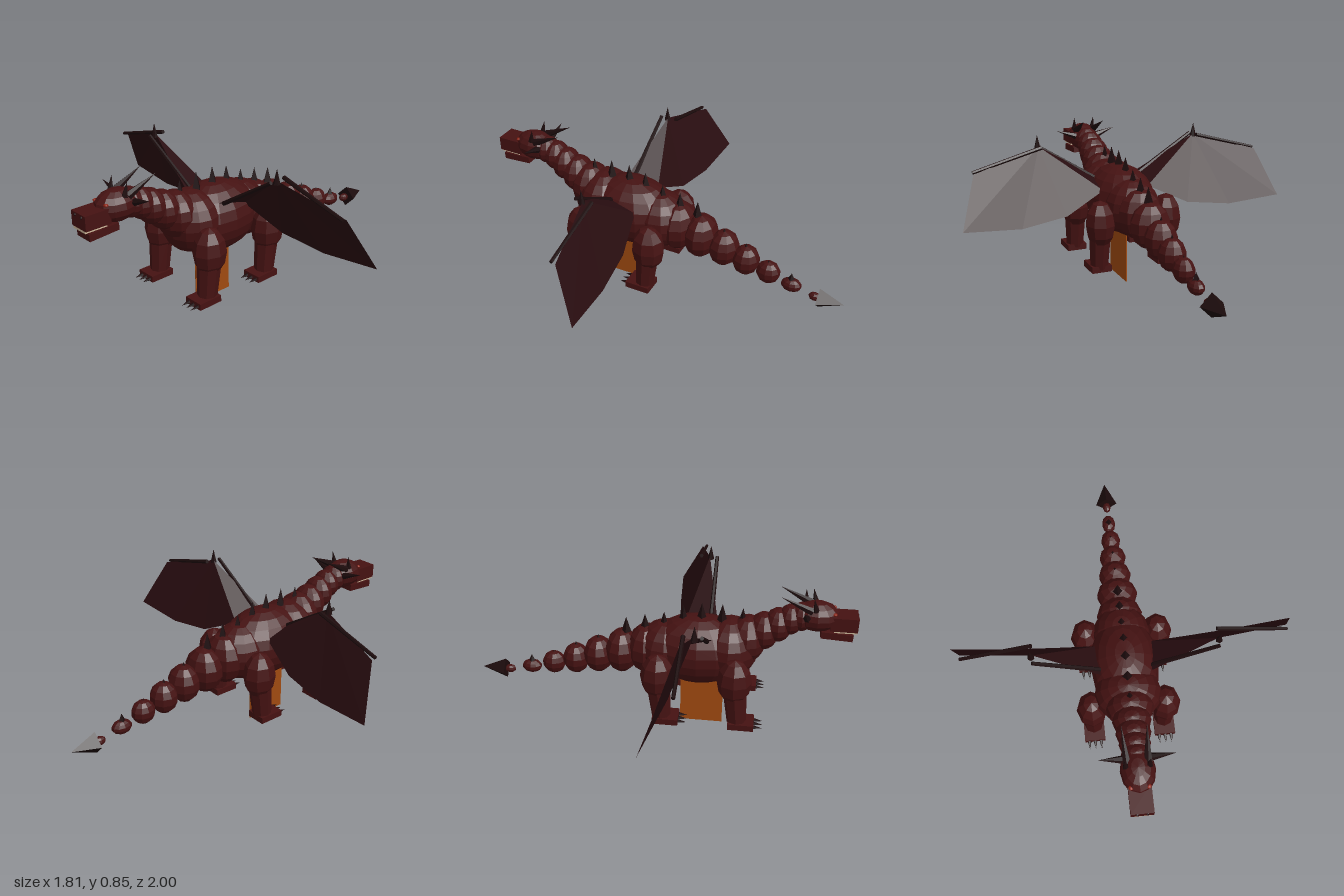
import * as THREE from 'three';

const mat = (name, color, extra = {}) => {
  const m = new THREE.MeshStandardMaterial({ color, flatShading: true, ...extra });
  m.name = name;
  return m;
};

export function createModel() {
  const model = new THREE.Group();
  model.name = 'dragon';
  const hide = mat('dark red hide', 0x451212);
  const horn = mat('black horn', 0x1c0b0c);
  const skin = mat('wing skin', 0x290d10, { side: THREE.DoubleSide });
  const ivory = mat('ivory', 0xcdb79a);
  const ember = mat('ember eye', 0x8a2010);
  const amber = mat('amber stand', 0xa04a10);

  const add = (name, geo, m, x = 0, y = 0, z = 0, parent = model) => {
    const mesh = new THREE.Mesh(geo, m);
    mesh.name = name;
    mesh.position.set(x, y, z);
    parent.add(mesh);
    return mesh;
  };
  const blob = (name, [x, y, z], [rx, ry, rz], m = hide, seg = 12, parent = model) =>
    add(name, new THREE.SphereGeometry(1, seg, Math.round(seg * 0.7)).scale(rx, ry, rz), m, x, y, z, parent);
  const box = (name, [x, y, z], size, m = hide, parent = model) =>
    add(name, new THREE.BoxGeometry(...size), m, x, y, z, parent);
  // Tapered rod from point a to point b
  const rod = (name, a, b, ra, rb, m, seg = 6, parent = model) => {
    const p = new THREE.Vector3(...a), q = new THREE.Vector3(...b);
    const d = q.clone().sub(p), mid = p.clone().add(q).multiplyScalar(0.5);
    const mesh = add(name, new THREE.CylinderGeometry(rb, ra, d.length(), seg), m, mid.x, mid.y, mid.z, parent);
    mesh.quaternion.setFromUnitVectors(new THREE.Vector3(0, 1, 0), d.normalize());
    return mesh;
  };

  // Torso
  blob('belly', [0, 0.465, 0.2], [0.178, 0.188, 0.27], hide, 16);
  blob('chest', [0, 0.485, 0.36], [0.172, 0.165, 0.15], hide, 14);
  blob('hips', [0, 0.455, 0.03], [0.15, 0.155, 0.16], hide, 14);

  // Neck: z, y, radius
  [[0.45, 0.545, 0.125], [0.53, 0.595, 0.1], [0.6, 0.635, 0.09], [0.66, 0.67, 0.08], [0.715, 0.69, 0.075]]
    .forEach(([z, y, r]) => blob('neckSegment', [0, y, z], [r * 0.97, r, r * 0.8]));

  // Tail: z, y, half width, half height
  [[-0.08, 0.445, 0.122, 0.135], [-0.21, 0.42, 0.11, 0.122], [-0.34, 0.385, 0.088, 0.102],
    [-0.465, 0.348, 0.073, 0.085], [-0.59, 0.312, 0.054, 0.064], [-0.718, 0.275, 0.038, 0.037]]
    .forEach(([z, y, rx, ry], i) => blob('tailSegment', [0, y, z], [rx, ry, 0.1 - i * 0.009], hide, 10));
  blob('tailLink', [0, 0.245, -0.845], [0.023, 0.023, 0.032], hide, 8);
  rod('tailBlade', [0, 0.245, -0.867], [0, 0.245, -1], 0.06, 0, horn, 4).rotation.set(-Math.PI / 2, 0, 0);

  // Back spikes: z, base y, height
  [[0.42, 0.62, 0.095], [0.315, 0.635, 0.095], [0.21, 0.64, 0.09], [0.115, 0.62, 0.09], [0.015, 0.58, 0.085],
    [-0.085, 0.56, 0.085], [-0.185, 0.535, 0.085], [-0.338, 0.445, 0.06], [-0.462, 0.395, 0.056],
    [-0.588, 0.34, 0.046], [-0.715, 0.307, 0.04]]
    .forEach(([z, y, h]) => add('backSpike', new THREE.ConeGeometry(0.013 + h * 0.15, h, 4), horn, 0, y + h / 2, z));

  // Head
  blob('skull', [0, 0.7, 0.79], [0.085, 0.079, 0.115], hide, 12);
  box('snout', [0, 0.681, 0.925], [0.11, 0.074, 0.136]);
  box('lowerJaw', [0, 0.611, 0.895], [0.1, 0.036, 0.16]).rotation.x = 0.06;
  box('upperTeeth', [0, 0.639, 0.935], [0.094, 0.012, 0.116], ivory);

  for (const s of [-1, 1]) {
    const side = s > 0 ? 'left' : 'right';
    blob(side + 'Eye', [s * 0.042, 0.732, 0.873], [0.012, 0.008, 0.012], ember, 8);
    blob(side + 'Nostril', [s * 0.025, 0.705, 0.991], [0.009, 0.008, 0.008], horn, 6);
    rod(side + 'Horn', [s * 0.05, 0.745, 0.76], [s * 0.06, 0.822, 0.6], 0.022, 0, horn);
    rod(side + 'BrowSpike', [s * 0.055, 0.75, 0.78], [s * 0.06, 0.82, 0.765], 0.016, 0, horn);
    rod(side + 'CheekSpike', [s * 0.065, 0.715, 0.737], [s * 0.182, 0.755, 0.737], 0.02, 0, horn);

    // Legs, front pair and hind pair
    for (const [end, z] of [['Front', 0.4], ['Hind', 0.005]]) {
      const leg = new THREE.Group();
      leg.name = side + end + 'Leg';
      leg.position.set(s * 0.19, 0, z);
      model.add(leg);
      blob('thigh', [0, 0.39, 0], [0.08, 0.128, 0.09], hide, 8, leg);
      rod('shin', [0, 0.34, 0.005], [0, 0.145, 0.022], 0.062, 0.05, hide, 8, leg);
      box('foot', [0, 0.143, 0.045], [0.11, 0.034, 0.135], hide, leg);
      for (const x of [-0.032, 0, 0.032])
        rod('claw', [x, 0.14, 0.11], [x, 0.137, 0.158], 0.011, 0, horn, 5, leg);
    }

    // Wing bones and elbow claw
    rod(side + 'WingUpperBone', [s * 0.13, 0.58, 0.25], [s * 0.452, 0.785, 0.25], 0.013, 0.01, horn);
    rod(side + 'WingOuterBone', [s * 0.448, 0.788, 0.163], [s * 0.812, 0.69, 0.163], 0.011, 0.009, horn);
    rod(side + 'WingClaw', [s * 0.455, 0.77, 0.215], [s * 0.455, 0.847, 0.215], 0.018, 0, horn);

    // Wing membrane, fanned from the elbow
    const rim = [[0.45, 0.785, 0.21], [0.812, 0.685, 0.14], [0.905, 0.43, 0.015], [0.6, 0.405, 0.035],
      [0.35, 0.435, 0.062], [0.13, 0.54, 0.11], [0.13, 0.59, 0.28]];
    const pos = [];
    for (let i = 1; i < rim.length - 1; i++)
      for (const p of [rim[0], rim[i], rim[i + 1]]) pos.push(p[0] * s, p[1], p[2]);
    const membrane = new THREE.BufferGeometry();
    membrane.setAttribute('position', new THREE.Float32BufferAttribute(pos, 3));
    membrane.computeVertexNormals();
    add(side + 'WingMembrane', membrane, skin);
  }

  // Thin upright stand under the belly
  box('standPlate', [0, 0.15, 0.221], [0.006, 0.3, 0.23], amber);

  return model;
}
